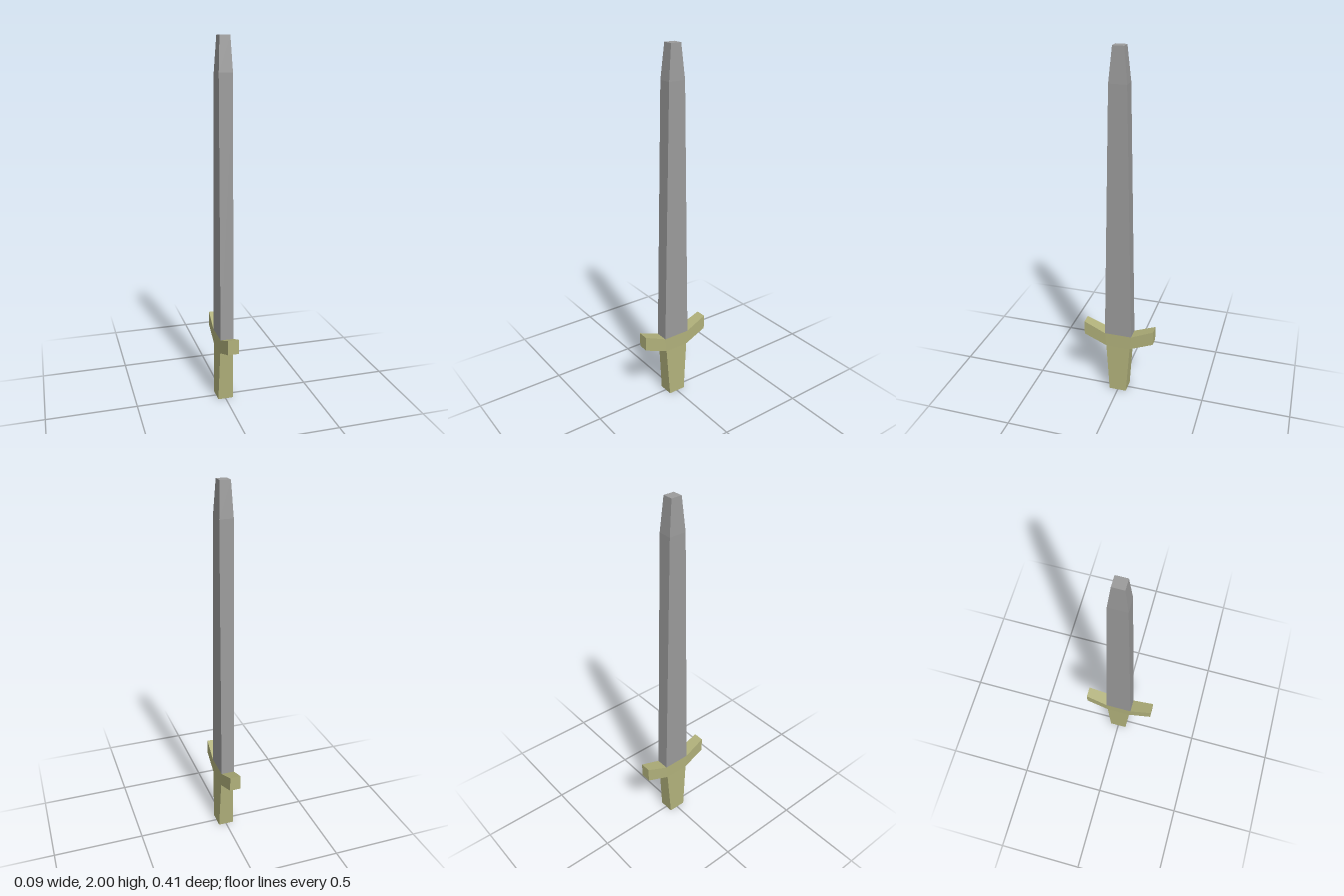
import * as THREE from 'three';

// Joins four-cornered cross-sections into a faceted skin; caps close the ends.
function loft(sections, capStart, capEnd) {
  const pos = [];
  const quad = (a, b, c, d) => pos.push(...a, ...b, ...c, ...a, ...c, ...d);
  for (let s = 0; s < sections.length - 1; s++) {
    const lo = sections[s], hi = sections[s + 1];
    for (let i = 0; i < 4; i++) {
      const j = (i + 1) % 4;
      quad(lo[i], lo[j], hi[j], hi[i]);
    }
  }
  if (capStart) quad(...[...sections[0]].reverse());
  if (capEnd) quad(...sections[sections.length - 1]);
  const geo = new THREE.BufferGeometry();
  geo.setAttribute('position', new THREE.Float32BufferAttribute(pos, 3));
  geo.computeVertexNormals();
  return geo;
}

// Horizontal rectangle at height y, given half width and half depth.
const level = (y, x, z) => [[x, y, z], [x, y, -z], [-x, y, -z], [-x, y, z]];

export function createModel() {
  const group = new THREE.Group();
  const steel = new THREE.MeshStandardMaterial({ color: 0x9b9b9b, flatShading: true });
  const brass = new THREE.MeshStandardMaterial({ color: 0xb1b17b, flatShading: true });

  const add = (name, geo, mat, parent = group) => {
    const mesh = new THREE.Mesh(geo, mat);
    mesh.name = name;
    parent.add(mesh);
    return mesh;
  };

  // Tapered blade with a blunt tip
  add('blade', loft([
    level(0.38, 0.037, 0.078),
    level(1.82, 0.037, 0.048),
    level(2, 0.028, 0.03),
  ], false, true), steel);

  // Grip, flaring out towards the guard
  const hilt = new THREE.Group();
  hilt.name = 'hilt';
  group.add(hilt);
  add('grip', loft([
    level(0, 0.043, 0.05),
    level(0.298, 0.037, 0.07),
    level(0.38, 0.037, 0.078),
  ], true, false), brass, hilt);

  // Two upswept guard arms, the second turned to the back
  const arm = loft([
    [[0.037, 0.298, 0.07], [0.037, 0.38, 0.078], [-0.037, 0.38, 0.078], [-0.037, 0.298, 0.07]],
    [[0.03, 0.35, 0.204], [0.03, 0.433, 0.204], [-0.03, 0.433, 0.204], [-0.03, 0.35, 0.204]],
  ], false, true);
  add('frontGuardArm', arm, brass, hilt);
  add('backGuardArm', arm, brass, hilt).rotation.y = Math.PI;

  return group;
}
